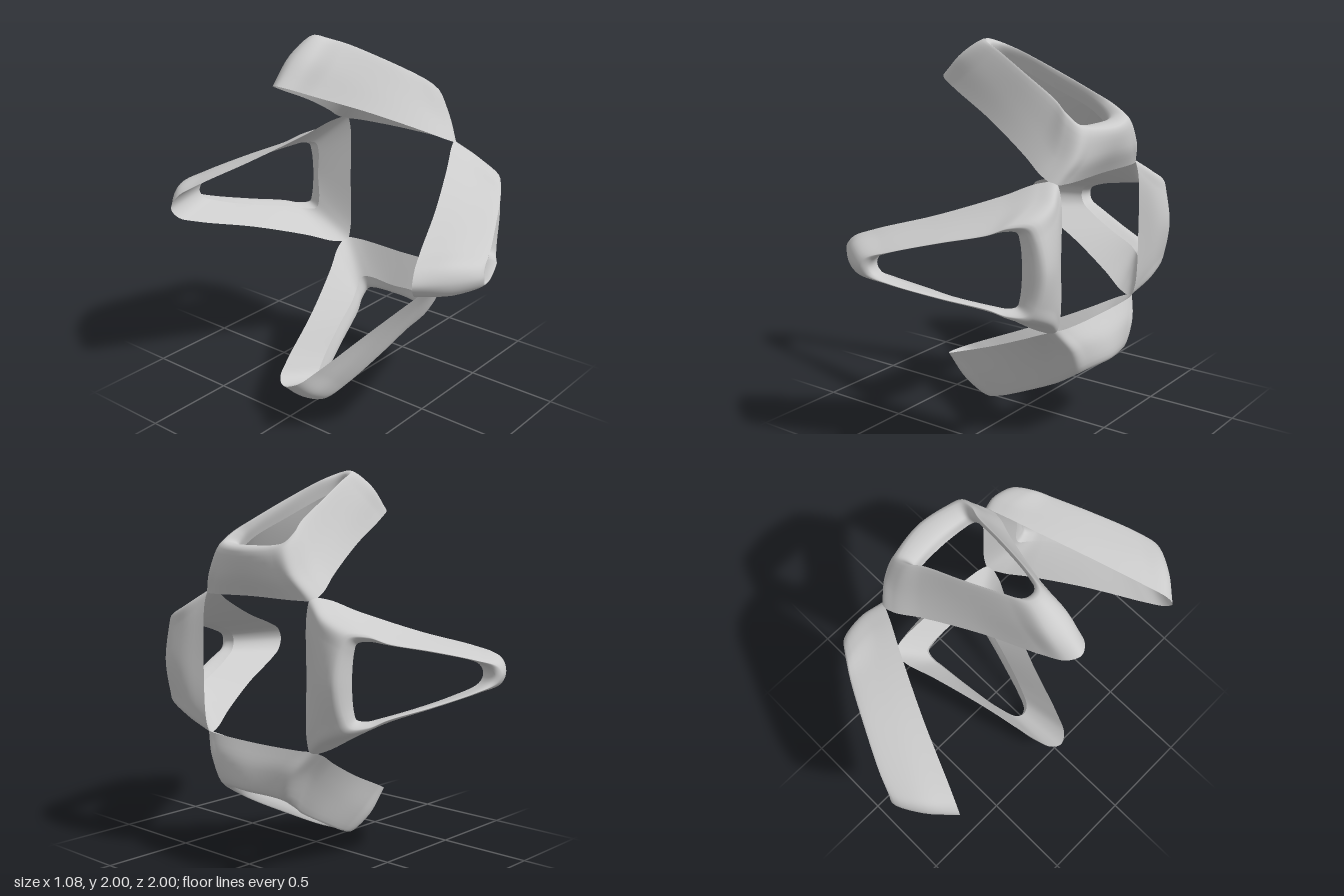
import * as THREE from 'three';
import { mergeGeometries } from 'three/addons/utils/BufferGeometryUtils.js';

// Half of each guide rail, tip to middle of the crossbar: [along, radial, sideways]
const RAILS = {
  innerEdge: [[-.54, .80, 0], [-.505, .785, .06], [-.40, .74, .105], [-.1, .615, .195], [.2, .475, .305],
    [.35, .40, .37], [.43, .367, .375], [.457, .365, .31], [.465, .37, 0]],
  wall: [[-.40, .925, 0], [-.375, .91, .065], [-.25, .85, .105], [0, .73, .17], [.27, .59, .25],
    [.40, .50, .305], [.485, .49, .29], [.505, .485, .21], [.525, .49, 0]],
  rim: [[-.255, .998, 0], [-.235, .988, .04], [-.12, .945, .078], [.10, .84, .135], [.30, .738, .18],
    [.385, .685, .215], [.465, .632, .215], [.495, .615, .16], [.527, .605, 0]],
  holeEdge: [[-.22, .975, 0], [-.205, .965, .035], [-.11, .92, .078], [.10, .81, .132], [.28, .71, .172],
    [.345, .665, .188], [.385, .62, .18], [.395, .61, .14], [.41, .61, 0]],
  crease: [[-.235, .90, 0], [-.215, .89, .045], [-.12, .845, .09], [.08, .745, .147], [.26, .655, .187],
    [.325, .60, .205], [.365, .55, .20], [.378, .54, .15], [.383, .55, 0]],
};
const AROUND = 192;

// Mirror a half rail sideways into a closed smooth loop
function closedRail(half) {
  const mirrored = half.slice(1, -1).reverse().map(([x, r, w]) => [x, r, -w]);
  const points = [...half, ...mirrored].map((p) => new THREE.Vector3(...p));
  return new THREE.CatmullRomCurve3(points, true);
}

// Sweep a band whose cross-section passes through the given rails
function band(rails, steps) {
  const positions = [], index = [], row = steps + 1;
  for (let i = 0; i < AROUND; i++) {
    const section = new THREE.CatmullRomCurve3(rails.map((c) => c.getPoint(i / AROUND)));
    for (let j = 0; j <= steps; j++) positions.push(...section.getPoint(j / steps).toArray());
    const next = (i + 1) % AROUND;
    for (let j = 0; j < steps; j++) {
      const a = i * row + j, b = next * row + j;
      index.push(a, b, b + 1, a, b + 1, a + 1);
    }
  }
  const geometry = new THREE.BufferGeometry();
  geometry.setAttribute('position', new THREE.Float32BufferAttribute(positions, 3));
  geometry.setIndex(index);
  geometry.computeVertexNormals();
  return geometry;
}

export function createModel() {
  const group = new THREE.Group();
  group.name = 'fourFrameRing';
  const material = new THREE.MeshStandardMaterial({ color: 0xcccccc, side: THREE.DoubleSide });

  const [inner, wall, rim, hole, crease] = Object.values(RAILS).map(closedRail);
  // Rounded outside and hollow back, with sharp edges where they meet
  const frame = mergeGeometries([
    band([inner, wall, rim, hole, crease], 20),
    band([crease, inner], 4),
  ]);

  // Four equal frames around the lengthwise axis
  ['topFrame', 'frontFrame', 'bottomFrame', 'backFrame'].forEach((name, k) => {
    const mesh = new THREE.Mesh(frame, material);
    mesh.name = name;
    mesh.position.y = 1;
    mesh.rotation.x = k * Math.PI / 2;
    group.add(mesh);
  });
  return group;
}
